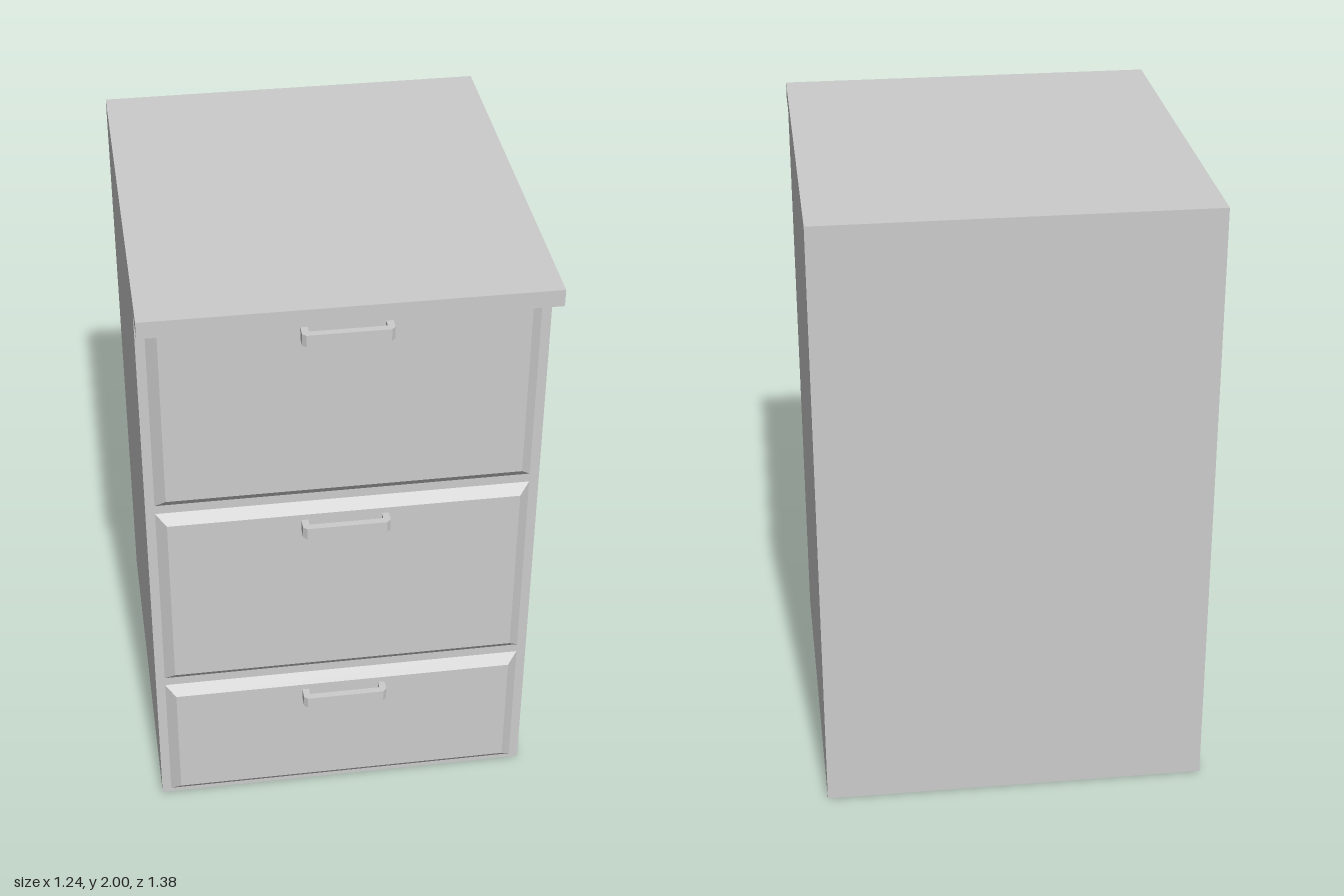
import * as THREE from 'three';

const material = new THREE.MeshStandardMaterial({ color: 0xcccccc, flatShading: true });

function add(group, name, geometry, x, y, z) {
  const mesh = new THREE.Mesh(geometry, material);
  mesh.name = name;
  mesh.position.set(x, y, z);
  group.add(mesh);
  return mesh;
}

// Box whose front face is drawn in to give sloping edges
function panelGeometry(width, height, depth, inset) {
  const geometry = new THREE.BoxGeometry(width, height, depth);
  const p = geometry.attributes.position;
  for (let i = 0; i < p.count; i++) {
    if (p.getZ(i) < 0) continue;
    p.setX(i, p.getX(i) - Math.sign(p.getX(i)) * inset);
    p.setY(i, p.getY(i) - Math.sign(p.getY(i)) * inset);
  }
  geometry.computeVertexNormals();
  return geometry;
}

// U-shaped pull seen from above, with clipped outer corners
function handleGeometry(half, depth, bar, height) {
  const clip = 0.012;
  const outline = [
    [-half, 0], [-half + bar, 0], [-half + bar, depth - bar], [half - bar, depth - bar],
    [half - bar, 0], [half, 0], [half, depth - clip], [half - clip, depth],
    [-half + clip, depth], [-half, depth - clip],
  ].map(([x, z]) => new THREE.Vector2(x, -z));
  const geometry = new THREE.ExtrudeGeometry(new THREE.Shape(outline), { depth: height, bevelEnabled: false });
  geometry.rotateX(-Math.PI / 2);
  // shape -y becomes +z, extrusion becomes +y
  return geometry.translate(0, -height / 2, 0);
}

export function createModel() {
  const model = new THREE.Group();
  model.name = 'drawerCabinet';

  const width = 1.24, back = -0.69, front = 0.555, topY = 1.945;

  // Carcass and overhanging top
  add(model, 'cabinetBody', new THREE.BoxGeometry(width, topY, front - back), 0, topY / 2, (front + back) / 2);
  add(model, 'countertop', new THREE.BoxGeometry(width, 2 - topY, 1.38), 0, (2 + topY) / 2, 0);

  // Three drawers, the lowest one shorter
  const drawers = [
    { name: 'topDrawer', top: 1.925, bottom: 1.24 },
    { name: 'middleDrawer', top: 1.209, bottom: 0.524 },
    { name: 'bottomDrawer', top: 0.493, bottom: 0.016 },
  ];
  const panelDepth = 0.027;
  for (const { name, top, bottom } of drawers) {
    const drawer = new THREE.Group();
    drawer.name = name;
    add(drawer, 'drawerFront', panelGeometry(1.18, top - bottom, panelDepth, 0.033),
      0, (top + bottom) / 2, front + panelDepth / 2);
    add(drawer, 'handle', handleGeometry(0.138, 0.048, 0.022, 0.04), 0, top - 0.073, front + panelDepth);
    model.add(drawer);
  }
  return model;
}
